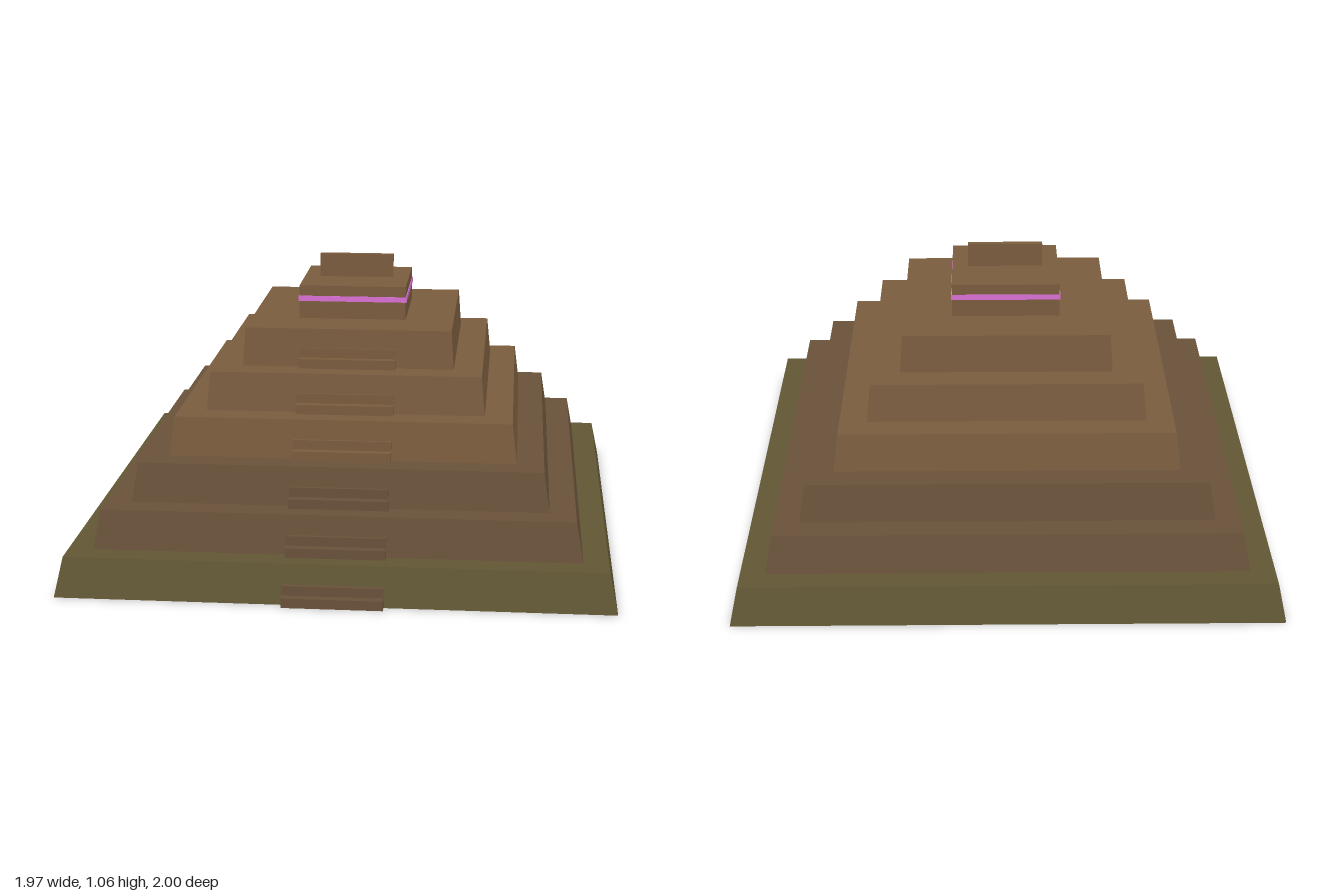
import * as THREE from 'three';

const CENTRE_Z = -0.015; // the front steps push the body slightly back
const TIER_H = 0.1415;

function material(color) {
  return new THREE.MeshStandardMaterial({ color, flatShading: true });
}

function addMesh(parent, name, geometry, mat, x, y, z) {
  const mesh = new THREE.Mesh(geometry, mat);
  mesh.name = name;
  mesh.position.set(x, y, z);
  parent.add(mesh);
  return mesh;
}

// Square block with sloping sides, standing on y = 0
function slopedBlock(bottomHalf, topHalf, height) {
  const g = new THREE.CylinderGeometry(topHalf * Math.SQRT2, bottomHalf * Math.SQRT2, height, 4);
  g.rotateY(Math.PI / 4);
  g.translate(0, height / 2, 0);
  return g;
}

export function createModel() {
  const model = new THREE.Group();
  model.name = 'steppedPyramid';

  const stone = material(0x7a5c3e);
  const darkStone = material(0x69523a);
  const mossyStone = material(0x615735);
  const glow = material(0xda70d6);
  const tierMaterials = [mossyStone, darkStone, darkStone, stone, stone, stone];

  tierMaterials.forEach((mat, i) => {
    // Terrace
    const half = 0.985 - 0.119 * i;
    const y = TIER_H * i;
    const front = CENTRE_Z + half;
    addMesh(model, `tier${i + 1}`, slopedBlock(half, half - 0.03 + 0.004 * i, TIER_H), mat, 0, y, CENTRE_Z);

    // Steps against the front face: a full tread and a shallow one above it
    const stairs = new THREE.Group();
    stairs.name = `stairs${i + 1}`;
    model.add(stairs);
    [0.03, 0.001].forEach((reach, k) => {
      const depth = 0.06;
      addMesh(stairs, `step${k + 1}`, new THREE.BoxGeometry(0.355, 0.035, depth),
        i === 0 ? darkStone : mat, 0, y + 0.0175 + 0.035 * k, front + reach - depth / 2);
    });
  });

  // Shrine on the summit with its glowing band and roof crest
  const top = TIER_H * tierMaterials.length;
  addMesh(model, 'shrine', new THREE.BoxGeometry(0.4, 0.125, 0.4), stone, 0, top + 0.0625, CENTRE_Z);
  addMesh(model, 'glowBand', new THREE.BoxGeometry(0.406, 0.02, 0.406), glow, 0, 0.925, CENTRE_Z);
  addMesh(model, 'roofCrest', new THREE.BoxGeometry(0.28, 0.09, 0.024), stone, 0, 1.017, CENTRE_Z);

  return model;
}
